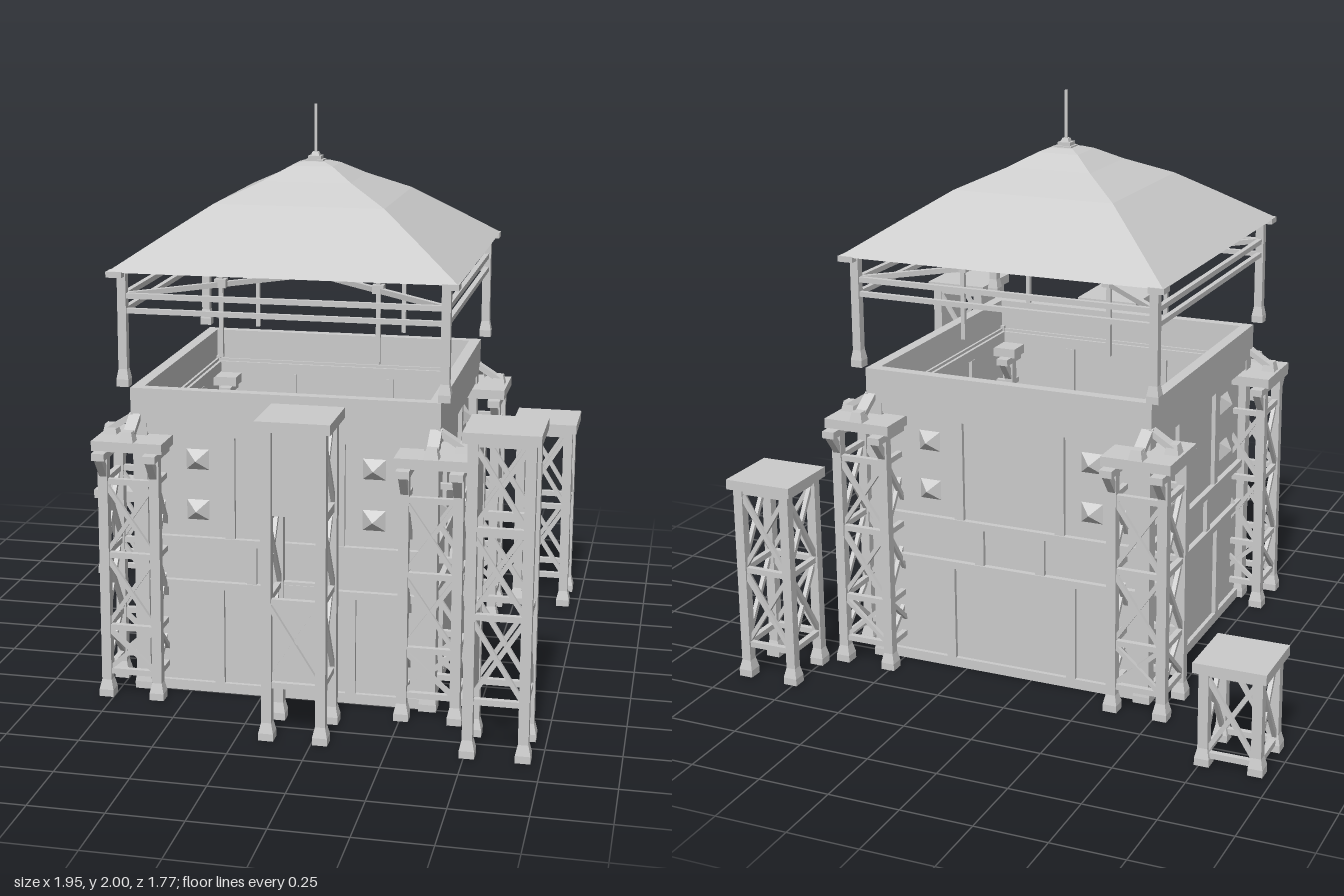
import * as THREE from 'three';

const mat = new THREE.MeshStandardMaterial({ color: 0xcccccc, flatShading: true });
const thin = new THREE.MeshStandardMaterial({ color: 0xcccccc, flatShading: true, side: THREE.DoubleSide });
const SIGNS = [-1, 1];
const CORNERS = [[-1, -1], [1, -1], [1, 1], [-1, 1]];
const UP = new THREE.Vector3(0, 1, 0);

function add(parent, name, geo, x = 0, y = 0, z = 0, m = mat) {
  const mesh = new THREE.Mesh(geo, m);
  mesh.name = name;
  mesh.position.set(x, y, z);
  parent.add(mesh);
  return mesh;
}

function group(parent, name, x = 0, y = 0, z = 0, turn = 0) {
  const g = new THREE.Group();
  g.name = name;
  g.position.set(x, y, z);
  g.rotation.y = turn;
  parent.add(g);
  return g;
}

// box given by its centre x/z and its bottom and top
function block(parent, name, x, z, w, d, y0, y1) {
  return add(parent, name, new THREE.BoxGeometry(w, y1 - y0, d), x, (y0 + y1) / 2, z);
}

// timber between two points of the parent's space
function beam(parent, name, a, b, w = 0.015, h = w) {
  const p = new THREE.Vector3(...a), q = new THREE.Vector3(...b);
  const mesh = add(parent, name, new THREE.BoxGeometry(w, h, p.distanceTo(q)));
  mesh.quaternion.setFromRotationMatrix(new THREE.Matrix4().lookAt(q, p, UP));
  mesh.position.copy(p).add(q).multiplyScalar(0.5);
}

// four-sided taper, w0 wide at the bottom and w1 at the top
function taper(parent, name, x, z, w0, w1, y0, y1) {
  const geo = new THREE.CylinderGeometry(w1 * Math.SQRT1_2, w0 * Math.SQRT1_2, y1 - y0, 4);
  geo.rotateY(Math.PI / 4);
  add(parent, name, geo, x, (y0 + y1) / 2, z);
}

// post standing on a flared foot
function post(parent, name, x, z, w, y0, y1, foot = 0.05) {
  const g = group(parent, name, x, 0, z);
  block(g, 'shaft', 0, 0, w, w, y0 + 0.03, y1);
  block(g, 'footBlock', 0, 0, foot, foot, y0, y0 + 0.025);
  taper(g, 'footTaper', 0, 0, foot, w, y0 + 0.025, y0 + 0.06);
}

// crossed braces with a rail on top and bottom, on a face at z = d
function crossBrace(parent, r, d, y0, y1) {
  beam(parent, 'braceA', [-r, y0, d - 0.004], [r, y1, d - 0.004]);
  beam(parent, 'braceB', [-r, y1, d + 0.004], [r, y0, d + 0.004]);
  for (const y of [y0, y1]) beam(parent, 'rail', [-r, y, d], [r, y, d], 0.02);
}

// four-legged stand with a slab; panelled stands have boards on two faces
function stand(parent, name, x, z, top, zones, panelTurn = null) {
  const g = group(parent, name, x, 0, z);
  const r = 0.09;
  for (const [sx, sz] of CORNERS) post(g, 'leg', sx * r, sz * r, 0.034, 0, top - 0.03);
  block(g, 'slab', 0, 0, 0.246, 0.246, top - 0.035, top);
  for (let i = 0; i < 4; i++) {
    const side = group(g, 'bracing', 0, 0, 0, i * Math.PI / 2);
    const panelled = panelTurn !== null && i % 2 === panelTurn;
    zones.forEach(([y0, y1], k) => {
      if (panelled && k !== 1) block(side, 'panel', 0, r - 0.01, 2 * r, 0.006, y0, y1);
      if (!panelled || k === 2) crossBrace(side, r, r, y0, y1);
    });
  }
  return g;
}

// walled lower storey, open above and below
function buildWalls(parent) {
  const g = group(parent, 'walls');
  for (const [sx, sz] of CORNERS) post(g, 'cornerPost', sx * 0.5, sz * 0.5, 0.05, 0, 0.98, 0.06);
  for (let i = 0; i < 4; i++) {
    const s = group(g, 'wall', 0, 0, 0, i * Math.PI / 2);
    block(s, 'boarding', 0, 0.488, 0.98, 0.014, 0.0, 0.97);
    block(s, 'parapet', 0, 0.51, 1.06, 0.04, 0.96, 1.08);
    block(s, 'sill', 0, 0.495, 0.98, 0.05, 0.92, 0.96);
    block(s, 'bottomRail', 0, 0.49, 1.0, 0.04, 0, 0.035);
    for (const y of [0.377, 0.535]) block(s, 'wallRail', 0, 0.49, 0.98, 0.05, y, y + 0.026);
    for (const [off, y0, y1] of [[0.19, 0.56, 0.92], [0.115, 0.4, 0.54], [0.23, 0.03, 0.38]])
      for (const k of SIGNS) block(s, 'stud', k * off, 0.489, 0.034, 0.042, y0, y1);
    // pointed loophole covers
    for (const k of SIGNS) for (const y of [0.833, 0.655]) {
      const geo = new THREE.ConeGeometry(0.04 * Math.SQRT2, 0.035, 4);
      geo.rotateY(Math.PI / 4).rotateX(Math.PI / 2).scale(1, 0.9, 1);
      add(s, 'loophole', geo, k * 0.305, y, 0.512);
    }
  }
}

// braced turret at each corner of the walls
function buildCorners(parent) {
  for (const [sx, sz] of CORNERS) {
    const g = stand(parent, 'cornerTurret', sx * 0.515, sz * 0.515, 0.915,
      [[0.51, 0.77], [0.25, 0.51], [0.09, 0.25]]);
    for (const k of SIGNS) {
      const x = k * 0.088;
      block(g, 'bracket', x, 0, 0.045, 0.325, 0.857, 0.882);
      for (const e of SIGNS)
        beam(g, 'bracketStrut', [x, 0.795, e * 0.095], [x, 0.865, e * 0.15], 0.026);
    }
    // struts leaning from the slab to the parapet
    taper(g, 'strutFoot', sx * 0.088, 0, 0.05, 0.035, 0.915, 0.95);
    taper(g, 'strutFoot', 0, sz * 0.1, 0.05, 0.035, 0.915, 0.95);
    beam(g, 'strut', [sx * 0.1, 0.925, 0], [sx * 0.005, 0.985, 0], 0.04, 0.02);
    beam(g, 'strut', [0, 0.925, sz * 0.1], [0, 0.985, sz * 0.005], 0.04, 0.02);
  }
}

// raised roof with its frame
function buildPavilion(parent) {
  const g = group(parent, 'pavilion');
  const R = 0.545;
  const profile = [[0.588, 1.482], [0.415, 1.6], [0.295, 1.68], [0.155, 1.745], [0.075, 1.79], [0.04, 1.802], [0, 1.806]];
  const roof = new THREE.LatheGeometry(
    profile.map(([r, y]) => new THREE.Vector2(r * Math.SQRT2, y)), 4, Math.PI / 4);
  add(g, 'roof', roof, 0, 0, 0, thin);
  for (const [sx, sz] of CORNERS) {
    post(g, 'roofPost', sx * R, sz * R, 0.03, 1.09, 1.49, 0.042);
    block(g, 'eaveBlock', sx * 0.562, sz * 0.562, 0.055, 0.055, 1.465, 1.485);
    beam(g, 'crossBeam', [0, 1.4, 0], [sx * R, 1.4, sz * R], 0.018);
    block(g, 'hanger', sx * 0.275, sz * 0.275, 0.015, 0.015, 1.145, 1.68);
    block(g, 'hangerJoint', sx * 0.275, sz * 0.275, 0.04, 0.04, 1.39, 1.42);
  }
  for (let i = 0; i < 4; i++) {
    const s = group(g, 'roofSide', 0, 0, 0, i * Math.PI / 2);
    block(s, 'upperRail', 0, R, 2 * R, 0.018, 1.39, 1.408);
    block(s, 'lowerRail', 0, R, 2 * R, 0.018, 1.34, 1.357);
  }
  // king post hanging from the peak
  post(g, 'kingPost', 0, 0, 0.036, 1.38, 1.79, 0.052);
  // finial
  block(g, 'finialBase', 0, 0, 0.062, 0.062, 1.793, 1.808);
  block(g, 'finialStep', 0, 0, 0.046, 0.046, 1.808, 1.82);
  taper(g, 'finialCap', 0, 0, 0.03, 0.022, 1.82, 1.833);
  block(g, 'spire', 0, 0, 0.009, 0.009, 1.83, 2);
}

export function createModel() {
  const model = new THREE.Group();
  model.name = 'fortifiedTower';
  const tower = group(model, 'tower', 0.08, 0, -0.01);
  buildWalls(tower);
  buildCorners(tower);
  buildPavilion(tower);

  // detached stands
  const tall = [[0.76, 1.04], [0.475, 0.75], [0.19, 0.475]];
  stand(model, 'tallStandFront', 0.19, 0.76, 1.08, tall, 0);
  stand(model, 'tallStandCorner', 0.85, 0.76, 1.08, tall, 1);
  stand(model, 'mediumStand', 0.85, -0.765, 0.735, [[0.4, 0.69], [0.12, 0.4]]);
  stand(model, 'lowStand', -0.85, -0.765, 0.36, [[0.035, 0.32]]);
  return model;
}
